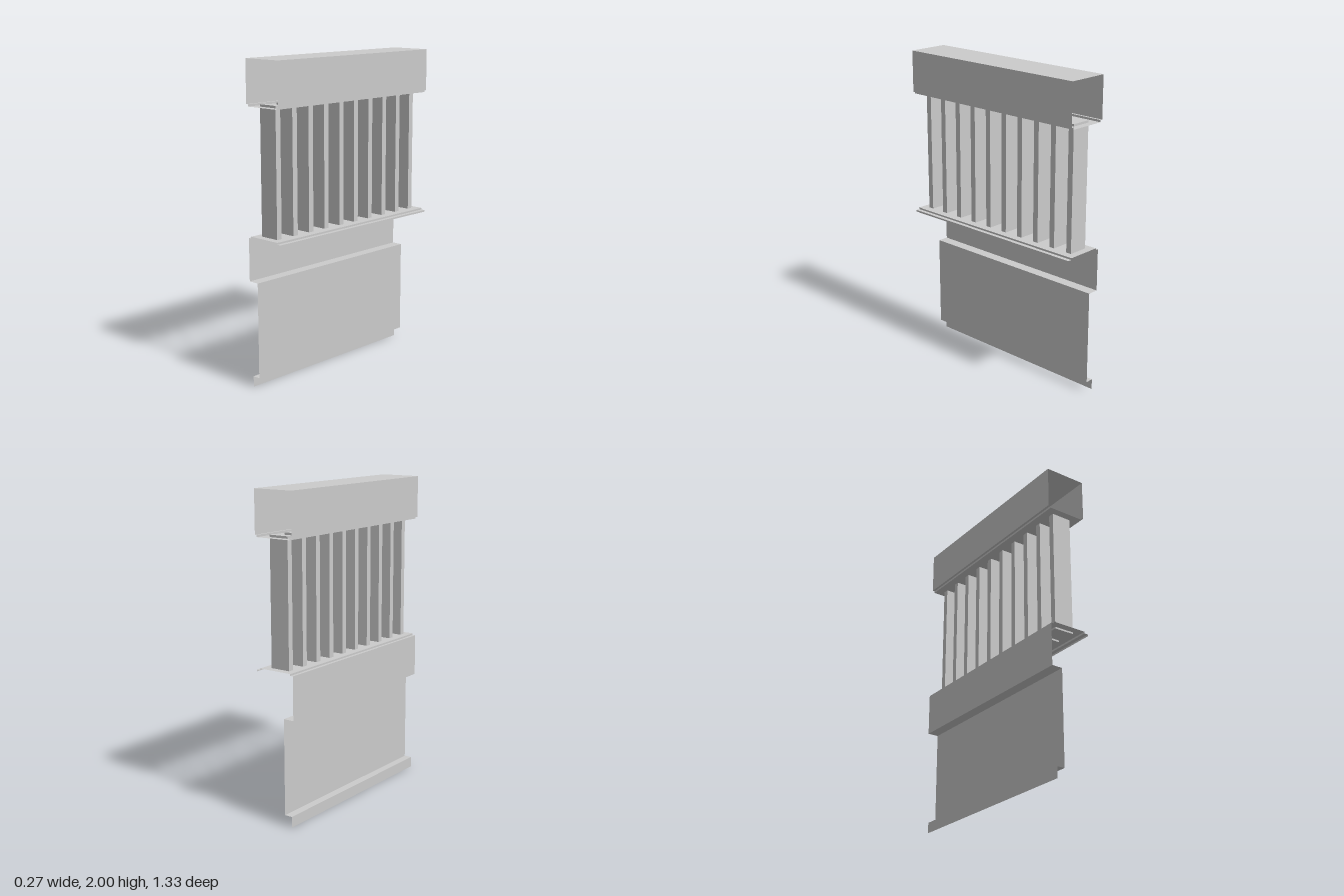
import * as THREE from 'three';

const HALF = 0.665; // half length along z

const material = new THREE.MeshStandardMaterial({
  color: 0xcccccc, flatShading: true, side: THREE.DoubleSide,
});

// Thin folded sheet: an open (x, y) profile swept along z
function foldedSheet(name, profile) {
  const positions = [];
  for (let i = 0; i < profile.length - 1; i++) {
    const [ax, ay] = profile[i];
    const [bx, by] = profile[i + 1];
    positions.push(
      ax, ay, HALF, bx, by, HALF, bx, by, -HALF,
      ax, ay, HALF, bx, by, -HALF, ax, ay, -HALF,
    );
  }
  const geometry = new THREE.BufferGeometry();
  geometry.setAttribute('position', new THREE.Float32BufferAttribute(positions, 3));
  geometry.computeVertexNormals();
  const mesh = new THREE.Mesh(geometry, material);
  mesh.name = name;
  return mesh;
}

export function createModel() {
  const model = new THREE.Group();
  model.name = 'balustrade';

  // Hollow top beam, open at both ends, with a stepped underside
  model.add(foldedSheet('topBeam', [
    [-0.137, 1.735], [-0.137, 2], [0.132, 2], [0.132, 1.735],
    [0.118, 1.735], [0.118, 1.722], [-0.122, 1.722], [-0.122, 1.735], [-0.137, 1.735],
  ]));

  // Stepped bottom rail with a small lip on its open side
  model.add(foldedSheet('bottomRail', [
    [0.136, 0.925], [0.136, 0.936], [0.11, 0.936], [0.11, 0.947],
    [-0.115, 0.947], [-0.115, 0.936], [-0.135, 0.936],
  ]));

  // Apron below the rail: upper band, recessed panel and foot lip
  model.add(foldedSheet('apron', [
    [-0.135, 0.936], [-0.135, 0.667], [-0.065, 0.667],
    [-0.065, 0.068], [-0.116, 0.068], [-0.116, 0],
  ]));

  // Row of flat balusters, passing slightly through both rails
  const balusters = new THREE.Group();
  balusters.name = 'balusters';
  const count = 10;
  const geometry = new THREE.BoxGeometry(0.13, 0.8, 0.037);
  for (let i = 0; i < count; i++) {
    const baluster = new THREE.Mesh(geometry, material);
    baluster.name = 'baluster';
    baluster.position.set(-0.005, 1.336, (i - (count - 1) / 2) * 0.1333);
    balusters.add(baluster);
  }
  model.add(balusters);

  return model;
}
